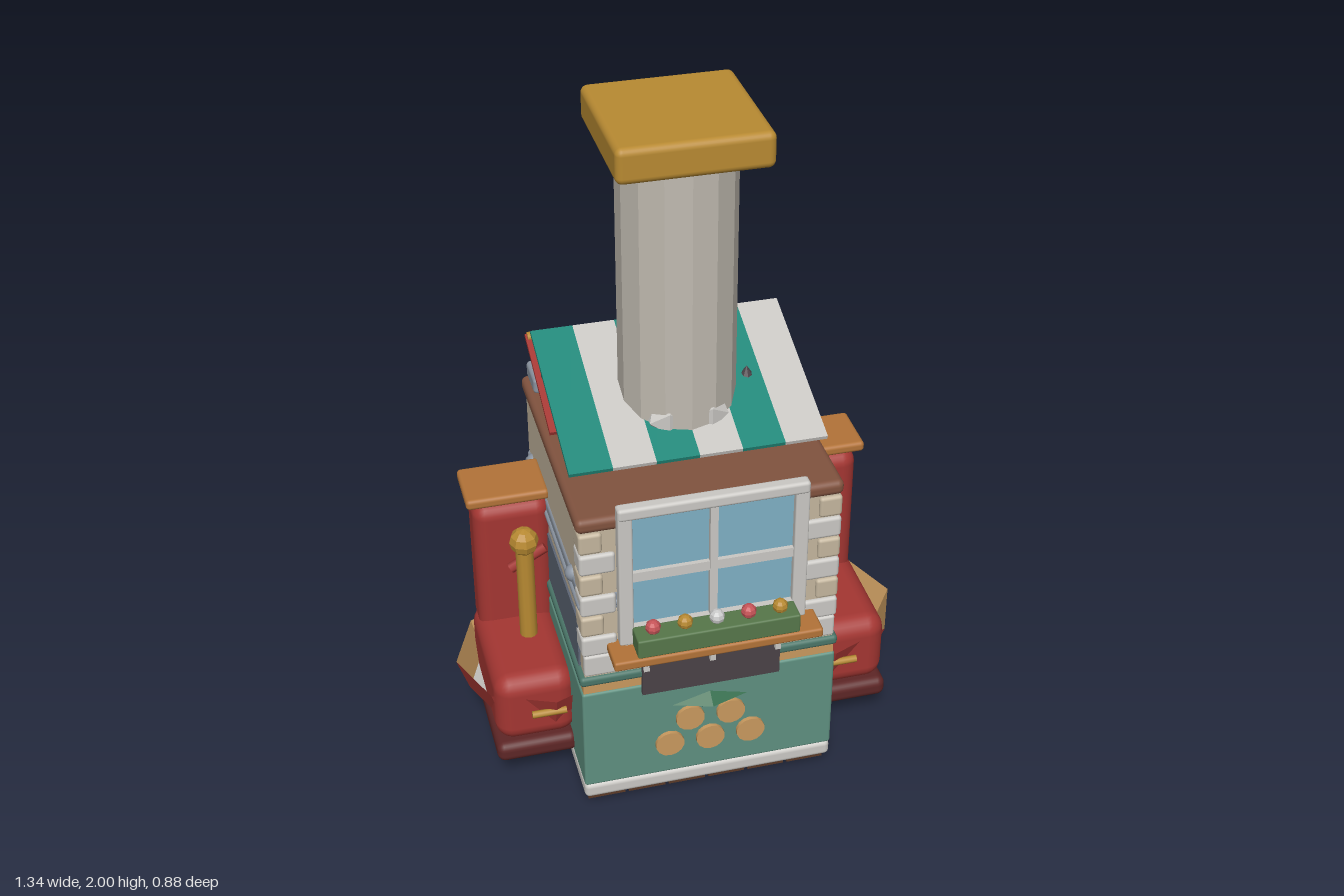
import * as THREE from 'three';
import { RoundedBoxGeometry } from 'three/addons/geometries/RoundedBoxGeometry.js';

const C = {
  teal: 0x5f9080, trim: 0x4a7568, stripe: 0x22897a, cream: 0xc4b69e, white: 0xcac8c4, slate: 0x8a939f,
  dark: 0x5d6675, roof: 0x81533f, wood: 0xb27338, gold: 0xb88a32, red: 0xa43632, maroon: 0x5e2626,
  tan: 0xc99a5f, green: 0x2d6a48, leaf: 0x56774a, glass: 0x7fb0c4, stone: 0xc0bab0, char: 0x4a4247, plank: 0x5a3a28,
};

export function createModel() {
  const root = new THREE.Group();
  const mats = {};
  const mat = (color, flat = false, double = false) => mats[[color, flat, double]] ??=
    new THREE.MeshStandardMaterial({ color, flatShading: flat, side: double ? THREE.DoubleSide : THREE.FrontSide });

  function add(parent, name, geo, material, x = 0, y = 0, z = 0) {
    const m = new THREE.Mesh(geo, material);
    m.name = name;
    m.position.set(x, y, z);
    parent.add(m);
    return m;
  }
  // Box given by its extents; r rounds the edges
  function box(name, color, x0, x1, y0, y1, z0, z1, r = 0, parent = root) {
    const w = x1 - x0, h = y1 - y0, d = z1 - z0;
    const geo = r ? new RoundedBoxGeometry(w, h, d, 3, r) : new THREE.BoxGeometry(w, h, d);
    return add(parent, name, geo, mat(color), (x0 + x1) / 2, (y0 + y1) / 2, (z0 + z1) / 2);
  }
  const ball = (parent, name, color, r, x, y, z, flat = true) =>
    add(parent, name, new THREE.SphereGeometry(r, flat ? 8 : 16, flat ? 6 : 12), mat(color, flat), x, y, z);
  const rod = (parent, name, color, r, len, x, y, z, sides = 10) =>
    add(parent, name, new THREE.CylinderGeometry(r, r, len, sides), mat(color), x, y, z);
  function diamond(name, color, w, h, d, x, y, z) {
    const m = add(root, name, new THREE.OctahedronGeometry(1, 0), mat(color, true), x, y, z);
    m.scale.set(w, h, d);
    return m;
  }

  // Underside planks, keel and base skirt
  for (let i = 0; i < 6; i++)
    box('floorPlank', C.plank, -0.36 + i * 0.12, -0.25 + i * 0.12, 0.025, 0.06, -0.39, 0.33);
  diamond('keel', C.roof, 0.2, 0.04, 0.06, 0, 0.04, -0.03);
  box('baseSkirt', C.white, -0.37, 0.37, 0.035, 0.085, -0.4, 0.34, 0.015);

  // Three storeys and their mouldings
  box('lowerBody', C.teal, -0.37, 0.37, 0.085, 0.43, -0.4, 0.34, 0.008);
  box('tanMoulding', C.tan, -0.365, 0.365, 0.43, 0.46, -0.395, 0.335);
  box('tealMoulding', C.trim, -0.375, 0.375, 0.46, 0.492, -0.405, 0.345, 0.012);
  box('middleBody', C.cream, -0.36, 0.36, 0.49, 0.715, -0.395, 0.335);
  box('slateMoulding', C.slate, -0.365, 0.365, 0.71, 0.775, -0.4, 0.33, 0.012);
  box('slateBead', C.slate, -0.372, 0.372, 0.725, 0.745, -0.405, 0.335, 0.009);
  box('upperBody', C.cream, -0.36, 0.36, 0.775, 0.99, -0.395, 0.335);
  box('backPanel', C.slate, -0.355, 0.355, 0.78, 0.985, -0.401, -0.38);
  box('roofSlab', C.roof, -0.372, 0.372, 0.985, 1.03, -0.41, 0.343, 0.018);

  // Drawer handle and ornaments on the back
  const handle = rod(root, 'drawerHandle', C.gold, 0.014, 0.22, 0, 0.61, -0.404);
  handle.rotation.z = Math.PI / 2;
  diamond('backOrnament', C.green, 0.1, 0.035, 0.04, 0, 0.33, -0.4);

  // Front ornament: roof shape above five discs
  diamond('frontOrnament', C.green, 0.11, 0.03, 0.035, 0, 0.337, 0.34);
  for (const [x, y] of [[-0.12, 0.2], [0, 0.2], [0.12, 0.2], [-0.06, 0.285], [0.06, 0.285]]) {
    const d = add(root, 'disc', new THREE.CylinderGeometry(0.042, 0.042, 0.02, 14), mat(C.tan), x, y, 0.342);
    d.rotation.x = Math.PI / 2;
  }

  // Front beam with hanging dark valance
  box('frontBeam', C.white, -0.362, 0.362, 0.5, 0.57, 0.32, 0.346, 0.008);
  box('valance', C.char, -0.2, 0.2, 0.405, 0.51, 0.34, 0.352);
  for (const x of [-0.19, 0, 0.19]) box('bracket', C.white, x - 0.008, x + 0.008, 0.5, 0.59, 0.345, 0.365);

  // Window
  box('windowGlass', C.glass, -0.23, 0.23, 0.65, 1.04, 0.335, 0.35);
  for (const s of [-1, 1]) {
    const x = s * 0.245;
    box('windowStile', C.white, x - 0.02, x + 0.02, 0.61, 1.065, 0.335, 0.37, 0.006);
  }
  box('windowHead', C.white, -0.265, 0.265, 1.03, 1.068, 0.335, 0.373, 0.01);
  box('windowBottomRail', C.white, -0.25, 0.25, 0.61, 0.67, 0.335, 0.368);
  box('windowMullion', C.white, -0.011, 0.011, 0.65, 1.04, 0.335, 0.365);
  box('windowTransom', C.white, -0.23, 0.23, 0.82, 0.85, 0.335, 0.363);

  // Sill, planter and flowers
  box('sill', C.wood, -0.297, 0.297, 0.58, 0.61, 0.33, 0.438, 0.008);
  box('planter', C.leaf, -0.23, 0.23, 0.61, 0.67, 0.365, 0.435, 0.006);
  [0xc75458, C.gold, 0xd4d0d0, 0xc75458, C.gold].forEach((c, i) =>
    ball(root, 'flower', c, 0.022, (i - 2) * 0.09, 0.687, 0.4));

  for (const s of [-1, 1]) {
    // Corner quoins, alternating wide and narrow
    for (let i = 0; i < 6; i++) {
      const w = i % 2 ? 0.065 : 0.1, m = new THREE.Group();
      box('quoin', i % 2 ? C.cream : C.white, -w / 2, w / 2, 0.57 + i * 0.07, 0.635 + i * 0.07, 0.27, 0.346, 0.01, m);
      m.position.x = s * (0.367 - w / 2);
      m.name = 'cornerBlock';
      root.add(m);
    }
    // Side window and moulding knobs
    box('sideWindow', C.dark, s * 0.36 - 0.006, s * 0.36 + 0.006, 0.495, 0.66, -0.34, 0.285);
    for (const z of [-0.21, 0.21, -0.34]) ball(root, 'knob', C.slate, 0.026, s * 0.355, 0.765, z, false);

    // Side seat, built for +x and turned round or mirrored for -x
    const seat = new THREE.Group();
    seat.name = s > 0 ? 'leftSeat' : 'rightSeat';
    box('seatBase', C.maroon, 0.355, 0.595, 0.09, 0.155, -0.25, 0.195, 0.025, seat);
    box('seatCushion', C.red, 0.35, 0.59, 0.15, 0.38, -0.235, 0.185, 0.055, seat);
    box('seatBack', C.red, 0.35, 0.578, 0.32, 0.785, -0.25, -0.11, 0.045, seat);
    box('seatBackCap', C.wood, 0.355, 0.596, 0.787, 0.82, -0.285, -0.11, 0.012, seat);
    // Eight-sided flared bowl round the cushion
    const flare = (name, rt, rb, h, y, color, side) => {
      const g = new THREE.CylinderGeometry(rt, rb, h, 8, 1, true);
      const m = add(seat, name, g, mat(color, true).clone(), 0.42, y, -0.03);
      m.material.side = side;
      return m;
    };
    flare('bowlOutside', 0.25, 0.215, 0.105, 0.262, C.red, THREE.FrontSide);
    flare('bowlInside', 0.249, 0.213, 0.105, 0.262, C.tan, THREE.BackSide);
    flare('bowlFoot', 0.215, 0.14, 0.05, 0.185, C.white, THREE.DoubleSide);
    // Post with ball finial and small arm
    rod(seat, 'post', C.gold, 0.026, 0.33, 0.45, 0.53, -0.03, 12);
    ball(seat, 'postBall', C.gold, 0.043, 0.45, 0.715, -0.03);
    const arm = rod(seat, 'arm', C.red, 0.016, 0.12, 0.43, 0.6, -0.1, 6);
    arm.rotation.z = Math.PI / 2 - 0.5;
    const grip = rod(seat, 'grip', C.gold, 0.011, 0.1, 0.44, 0.265, 0.2, 8);
    grip.rotation.z = Math.PI / 2;
    seat.children.forEach((m) => { m.position.x *= s; m.rotation.z *= s; });
    root.add(seat);
  }

  // Striped awnings: each slopes from its low front edge up to its high back edge
  function awning(name, color, z0, y0, z1, y1) {
    const g = new THREE.Group();
    g.name = name;
    const len = Math.hypot(z1 - z0, y1 - y0);
    for (let i = 0; i < 6; i++)
      box('stripe', i % 2 ? C.white : color, -0.36 + i * 0.12, -0.24 + i * 0.12, -0.006, 0.006, -len / 2, len / 2, 0, g);
    g.position.set(0, (y0 + y1) / 2, (z0 + z1) / 2);
    g.rotation.x = Math.atan2(y1 - y0, z0 - z1);
    root.add(g);
  }
  awning('upperAwning', C.stripe, 0.215, 1.092, -0.275, 1.25);
  awning('rearAwning', C.red, -0.04, 1.06, -0.37, 1.185);

  // Rear parapet, rail and awning posts
  box('parapet', C.slate, -0.355, 0.355, 1.03, 1.08, -0.405, -0.29, 0.012);
  const rail = rod(root, 'rearRail', C.gold, 0.014, 0.71, 0, 1.185, -0.36);
  rail.rotation.z = Math.PI / 2;
  for (const x of [-0.335, 0.335]) {
    rod(root, 'railPost', C.gold, 0.01, 0.13, x, 1.125, -0.35);
    rod(root, 'awningPost', C.char, 0.01, 0.2, x, 1.125, -0.22);
  }

  // Small golden bell ornament at the middle of the parapet
  rod(root, 'bellStem', C.gold, 0.025, 0.06, 0, 1.09, -0.345);
  ball(root, 'bell', C.gold, 0.045, 0, 1.13, -0.345);
  ball(root, 'bellTop', C.gold, 0.045, 0, 1.165, -0.28);
  const crest = add(root, 'crest', new THREE.TorusGeometry(0.055, 0.014, 6, 10, Math.PI), mat(C.red), 0, 1.15, -0.375);
  crest.scale.y = 0.7;

  // Pot with a dark pointed lid
  const pot = [[0, 0], [0.05, 0], [0.08, 0.04], [0.075, 0.08], [0.045, 0.105], [0, 0.105]].map((p) => new THREE.Vector2(...p));
  add(root, 'pot', new THREE.LatheGeometry(pot, 14), mat(C.tan), 0.22, 1.03, -0.02);
  add(root, 'potLid', new THREE.ConeGeometry(0.045, 0.07, 8), mat(C.char, true), 0.2, 1.165, -0.03);

  // Chimney with pale puffs at its foot and a square cap
  add(root, 'chimney', new THREE.CylinderGeometry(0.163, 0.163, 0.88, 14), mat(C.stone, true), 0, 1.47, -0.03);
  for (let i = 0; i < 6; i++) {
    const a = (i / 6) * Math.PI * 2;
    add(root, 'puff', new THREE.IcosahedronGeometry(0.06, 0), mat(C.white, true),
      0.12 * Math.cos(a), 1.145, -0.03 + 0.12 * Math.sin(a));
  }
  box('chimneyCap', C.gold, -0.207, 0.207, 1.9, 2, -0.24, 0.175, 0.02);
  return root;
}
